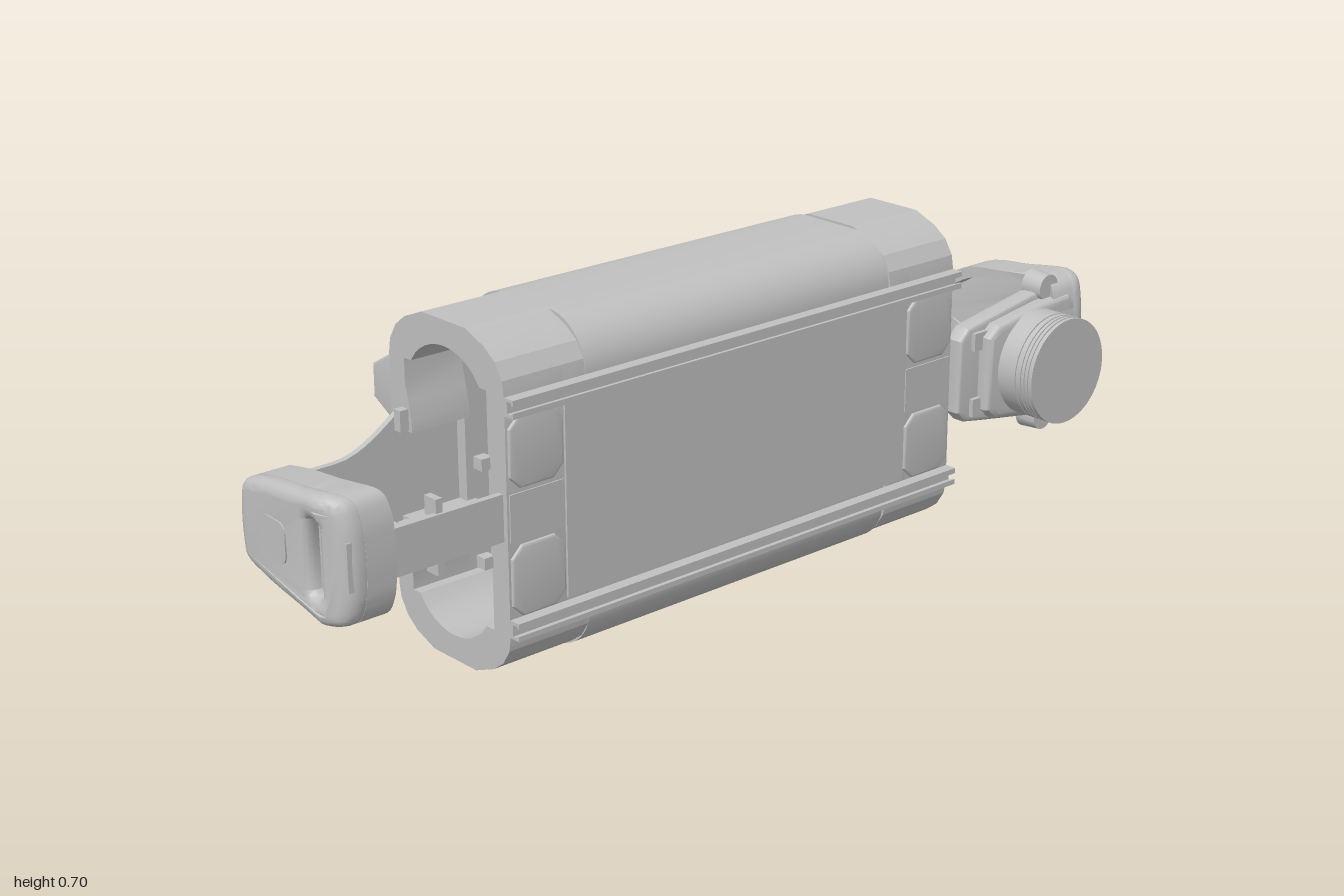
import * as THREE from 'three';
import { toCreasedNormals } from 'three/addons/utils/BufferGeometryUtils.js';

const CY = 0.348; // height of the horizontal symmetry plane

export function createModel() {
  const root = new THREE.Group();
  const grey = new THREE.MeshStandardMaterial({ color: 0xc0c0c0 });
  grey.name = 'plain grey';

  const add = (name, geo, parent = root, crease = 0.5) => {
    const mesh = new THREE.Mesh(toCreasedNormals(geo, crease), grey);
    mesh.name = name;
    parent.add(mesh);
  };
  const box = (name, x0, x1, y0, y1, z0, z1) => {
    const g = new THREE.BoxGeometry(x1 - x0, y1 - y0, z1 - z0);
    add(name, g.translate((x0 + x1) / 2, (y0 + y1) / 2, (z0 + z1) / 2));
  };
  // Outlines always run counter-clockwise so that walls and holes face the right way
  const poly = (pts) => {
    const v = pts.map((p) => new THREE.Vector2(p[0], p[1]));
    return new THREE.Shape(THREE.ShapeUtils.isClockWise(v) ? v.reverse() : v);
  };
  const smooth = (pts) => poly(new THREE.CatmullRomCurve3(
    pts.map(([z, y]) => new THREE.Vector3(-z, y, 0)), true, 'centripetal').getPoints(70).slice(0, -1)
    .map((v) => [v.x, v.y]));
  const extrude = (shape, len, bevel = 0) => new THREE.ExtrudeGeometry(shape, {
    depth: len - 2 * bevel, bevelEnabled: bevel > 0, bevelThickness: bevel,
    bevelSize: bevel, bevelOffset: -bevel, bevelSegments: 4, curveSegments: 20,
  }).translate(0, 0, bevel);
  // Profile drawn as (-z, y), swept along x
  const alongX = (shape, x0, x1, bevel) => extrude(shape, x1 - x0, bevel).rotateY(Math.PI / 2).translate(x0, 0, 0);
  // Profile drawn as (x, y), swept along z
  const alongZ = (shape, z0, z1, bevel) => extrude(shape, z1 - z0, bevel).translate(0, 0, z0);
  const flip = (pts) => pts.map(([a, b]) => [a, 2 * CY - b]);
  // Closes a list of upper half points by mirroring it about CY
  const mirrorY = (pts) => [...pts, ...flip(pts).reverse()];
  const roundRect = (cx, cy, w, h, r) => {
    const s = new THREE.Shape(), a = w / 2 - r, b = h / 2 - r;
    [[1, 1], [-1, 1], [-1, -1], [1, -1]].forEach(([sx, sy], i) =>
      s.absarc(cx + sx * a, cy + sy * b, r, i * Math.PI / 2, (i + 1) * Math.PI / 2));
    return s;
  };

  // Body profile: domed top and bottom, straight front and back walls
  const domed = [];
  for (let i = 0; i <= 20; i++) {
    const t = (i / 20) * Math.PI;
    domed.push([(i < 10 ? -0.025 : 0.11) - 0.109 * Math.cos(t), 0.59 + 0.104 * Math.sin(t)]);
  }
  const faceted = [[-0.137, 0.59], [-0.132, 0.62], [-0.112, 0.652], [-0.08, 0.675], [-0.025, 0.697],
    [0.11, 0.697], [0.165, 0.675], [0.195, 0.652], [0.215, 0.62], [0.22, 0.59]];
  const inner = [[-0.087, 0.59], [-0.063, 0.59]];
  for (let i = 1; i < 14; i++) {
    const u = -1 + i / 7;
    inner.push([0.0435 + u * 0.1065, 0.645 - 0.11 * (1 - Math.sqrt(1 - 0.75 * u * u))]);
  }
  inner.push([0.15, 0.59], [0.172, 0.59]);
  const ring = (top) => {
    const shape = poly(mirrorY(top));
    shape.holes.push(poly(mirrorY(inner)));
    return shape;
  };
  // Half ring whose back wall stops short, leaving a gap for the strap
  const halfRing = [[-0.137, CY], ...faceted, [0.22, 0.44], [0.155, 0.44], [0.156, 0.465], [0.164, 0.505],
    [0.172, 0.54], ...inner.slice().reverse(), [-0.087, CY]];
  add('bodyShell', alongX(ring(domed), -0.42, 0.40));
  for (const [full0, full1, gap0, gap1] of [[-0.478, -0.423, -0.617, -0.478], [0.403, 0.46, 0.46, 0.595]]) {
    add('endCap', alongX(ring(faceted), full0, full1), root, 0.3);
    add('endCapUpper', alongX(poly(halfRing), gap0, gap1), root, 0.3);
    add('endCapLower', alongX(poly(flip(halfRing)), gap0, gap1), root, 0.3);
  }

  // Front and back panels
  box('frontPanel', -0.478, 0.45, 0.15, 0.555, 0.13, 0.142);
  box('backPanel', -0.478, 0.455, 0.14, 0.556, -0.223, -0.21);

  // Slotted rails along the front edges
  const rail = [[-0.137, 0.553], [-0.137, 0.59], [-0.163, 0.59], [-0.163, 0.579], [-0.158, 0.579], [-0.158, 0.584],
    [-0.145, 0.584], [-0.145, 0.56], [-0.158, 0.56], [-0.158, 0.565], [-0.163, 0.565], [-0.163, 0.553]];
  add('upperRail', alongX(poly(rail), -0.617, 0.595));
  add('lowerRail', alongX(poly(flip(rail)), -0.617, 0.595));

  // Front corner blocks, tapered rear feet and the small end fittings
  const foot = [[0.205, 0.59], [0.22, 0.588], [0.287, 0.549], [0.287, 0.48], [0.22, 0.442], [0.205, 0.442]];
  for (const [x0, x1] of [[-0.612, -0.482], [0.455, 0.59]]) {
    const [e0, e1] = x0 < 0 ? [x0 - 0.025, x0] : [x1, x1 + 0.025];
    for (const s of [1, -1]) {
      const y0 = CY + s * 0.13 - 0.073, y1 = y0 + 0.146, c = 0.025;
      add('cornerBlock', alongZ(poly([[x0 + c, y0], [x1 - c, y0], [x1, y0 + c], [x1, y1 - c],
        [x1 - c, y1], [x0 + c, y1], [x0, y1 - c], [x0, y0 + c]]), 0.125, 0.143, 0.005));
      add('rearFoot', alongX(poly(s > 0 ? foot : flip(foot)), x0, x1, 0.006));
      const yl = CY + s * 0.117, yp = CY + s * 0.1;
      box('latch', e0, e1, yl - 0.022, yl + 0.022, -0.185, -0.165);
      box('frontPeg', e0, e1, yp - 0.012, yp + 0.012, 0.065, 0.09);
    }
    box('armSocket', x0, x1, 0.30, 0.396, 0.125, 0.14);
  }

  // Rear straps flare out where they enter the body
  const strap = (sx, flareEnd, half, end) => {
    const pts = [];
    for (let i = 0; i <= 12; i++) {
      const t = i / 12;
      pts.push([sx * (0.47 + (flareEnd - 0.47) * t), CY + half + (0.19 - half) * (0.5 + 0.5 * Math.cos(Math.PI * t))]);
    }
    pts.push([sx * end, CY + half]);
    add('rearStrap', alongZ(poly(mirrorY(pts)), -0.212, -0.198));
  };
  strap(1, 0.65, 0.07, 0.94);
  strap(-1, 0.77, 0.055, 0.93);

  // Dished hand grip with a slot on its outer face
  const grip = (name, pts, slotZ, slotH, buttonZ, rim, outer) => {
    const g = new THREE.Group();
    g.name = name;
    root.add(g);
    const side = Math.sign(slotZ);
    const front = Math.max(...pts.map((p) => p[0] * side));
    // Leans the grip outward toward the front, then turns its front edge back in
    const lean = (geo) => {
      const p = geo.attributes.position;
      for (let i = 0; i < p.count; i++) {
        const z = p.getZ(i) * side;
        p.setX(i, p.getX(i) + 0.06 * z - 0.5 * Math.max(0, z - front + 0.065));
      }
      return geo;
    };
    const cz = pts.reduce((a, p) => a + p[0], 0) / pts.length;
    const face = smooth(pts), wall = smooth(pts);
    face.holes.push(roundRect(-slotZ, CY, 0.034, slotH, 0.012));
    wall.holes.push(smooth(pts.map(([z, y]) => [cz + (z - cz) * 0.86, CY + (y - CY) * 0.84])));
    add('gripFace', lean(alongX(face, outer - 0.055, outer, 0.022)), g, 0.7);
    add('gripWall', lean(alongX(wall, rim, outer - 0.035)), g, 0.7);
    add('slotFloor', lean(alongX(roundRect(-slotZ, CY, 0.05, slotH + 0.02, 0.015), outer - 0.045, outer - 0.03)), g);
    add('button', lean(alongX(roundRect(-buttonZ, CY, 0.085, 0.082, 0.02), outer - 0.01, outer + 0.003)), g);
    return g;
  };
  grip('leftGrip', mirrorY([[-0.21, 0.37], [-0.195, 0.415], [-0.14, 0.455], [-0.075, 0.49], [0.02, 0.501],
    [0.14, 0.514], [0.175, 0.502], [0.192, 0.46], [0.2, 0.39]]), 0.108, 0.165, -0.073, 0.885, 0.988);
  grip('rightGrip', mirrorY([[0.212, 0.38], [0.2, 0.425], [0.14, 0.445], [0.0, 0.465],
    [-0.08, 0.475], [-0.112, 0.465], [-0.127, 0.43], [-0.132, 0.38]]), -0.05, 0.15, 0.08, 0.892, 0.992)
    .rotation.y = Math.PI;

  // Front arm and folding bracket on the right
  box('frontArm', -0.95, -0.60, 0.30, 0.396, 0.112, 0.126);
  box('gripBracket', -0.97, -0.91, 0.30, 0.396, 0.1, 0.128);
  box('armBracket', -0.865, -0.65, 0.31, 0.386, 0.085, 0.112);
  box('bracketStop', -0.865, -0.83, 0.31, 0.386, 0.04, 0.09);
  for (const s of [1, -1]) box('hingePin', -0.767, -0.752, CY + s * 0.056 - 0.02, CY + s * 0.056 + 0.02, 0.085, 0.12);

  // Front head carrying the drum on the left
  add('headPlate', alongZ(poly(mirrorY([[0.6, 0.43], [0.625, 0.455], [0.68, 0.465], [0.83, 0.49], [0.94, 0.495],
    [0.965, 0.47]])), 0.118, 0.162, 0.01));
  add('headBoss', alongZ(poly(mirrorY([[0.66, 0.43], [0.69, 0.455], [0.83, 0.475], [0.92, 0.48], [0.945, 0.45]])), 0.15, 0.195, 0.014));
  for (const s of [1, -1]) {
    const knob = new THREE.CylinderGeometry(0.03, 0.034, 0.05, 24).rotateX(Math.PI / 2);
    add('knob', knob.translate(0.872, CY + s * 0.15, 0.147));
    box('headTab', 0.635, 0.68, CY + s * 0.075 - 0.02, CY + s * 0.075 + 0.02, 0.155, 0.172);
  }
  const R = 0.118;
  const profile = [[0, 0.18], [R, 0.18], [R, 0.243], [R - 0.003, 0.243], [R - 0.003, 0.246], [R, 0.246]];
  for (const z of [0.258, 0.268, 0.278]) profile.push([R, z], [R - 0.003, z], [R - 0.003, z + 0.003], [R, z + 0.003]);
  profile.push([R, 0.29], [0, 0.29]);
  add('drum', new THREE.LatheGeometry(profile.map((p) => new THREE.Vector2(p[0], p[1])), 48)
    .rotateX(Math.PI / 2).translate(0.805, CY + 0.002, 0));

  return root;
}
